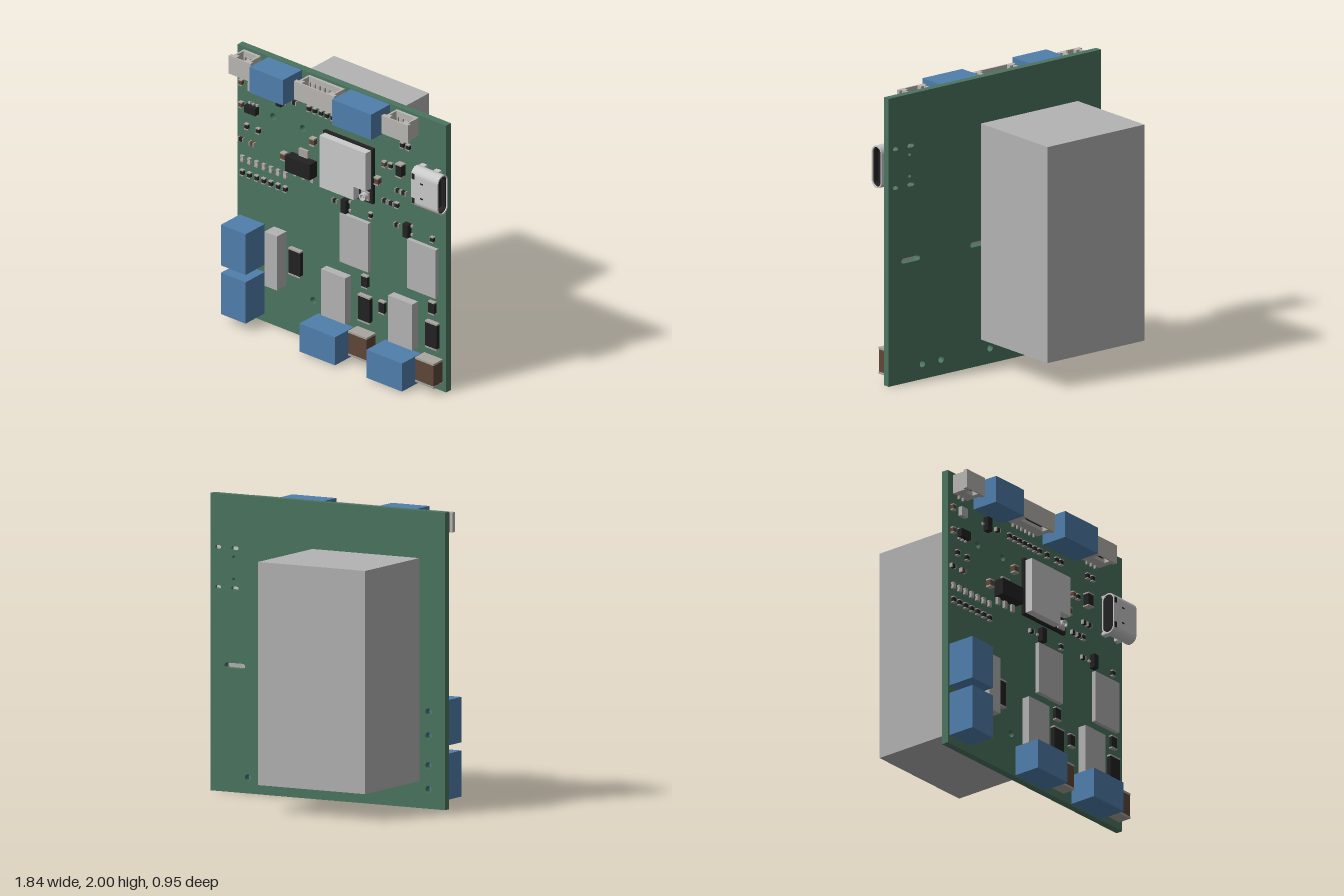
import * as THREE from 'three';

const mat = (name, color, side = THREE.FrontSide) => {
  const m = new THREE.MeshStandardMaterial({ color, side });
  m.name = name;
  return m;
};

export function createModel() {
  const root = new THREE.Group();
  root.name = 'circuitBoard';
  const green = mat('board green', 0x4c7560);
  const blue = mat('terminal blue', 0x507fac);
  const grey = mat('package grey', 0xb3b3b3);
  const silver = mat('shield silver', 0xcacaca);
  const plastic = mat('connector plastic', 0xbab7b2);
  const black = mat('component black', 0x222222);
  const brown = mat('capacitor brown', 0x5f4637);
  const solder = mat('solder metal', 0xaaa59f);
  const F = 0.28; // front face of the board

  const add = (parent, name, geo, material) => {
    const m = new THREE.Mesh(geo, material);
    m.name = name;
    parent.add(m);
    return m;
  };
  // box given by its limits
  const box = (parent, name, material, x0, x1, y0, y1, z0, z1) => {
    const m = add(parent, name, new THREE.BoxGeometry(x1 - x0, y1 - y0, z1 - z0), material);
    m.position.set((x0 + x1) / 2, (y0 + y1) / 2, (z0 + z1) / 2);
    return m;
  };
  const group = (name) => {
    const g = new THREE.Group();
    g.name = name;
    root.add(g);
    return g;
  };
  const poly = (pts) => new THREE.Shape(pts.map(([x, y]) => new THREE.Vector2(x, y)));
  const rect = (x0, x1, y0, y1) => poly([[x0, y0], [x1, y0], [x1, y1], [x0, y1]]);
  const slot = (cx, cy, hx, hy, Kind = THREE.Shape) => { // rounded slot, long in x or y
    const s = new Kind(), r = Math.min(hx, hy), dx = hx - r, dy = hy - r, q = Math.PI / 2;
    s.absarc(cx + dx, cy + dy, r, 0, q, false);
    s.absarc(cx - dx, cy + dy, r, q, 2 * q, false);
    s.absarc(cx - dx, cy - dy, r, 2 * q, 3 * q, false);
    s.absarc(cx + dx, cy - dy, r, 3 * q, 4 * q, false);
    s.closePath();
    return s;
  };

  // board with drilled holes and slots
  const plate = rect(-0.92, 0.9, 0, 2);
  const holes = [
    [-0.61, 1.56, 0.025], [-0.35, 1.56, 0.025], [-0.61, 0.3, 0.025], [-0.26, 0.3, 0.025],
    [-0.79, 0.65, 0.023], [-0.79, 0.49, 0.023], [-0.79, 0.29, 0.023], [-0.79, 0.13, 0.023],
    [0.61, 0.105, 0.023], [0.45, 0.105, 0.023], [0.03, 0.105, 0.023], [-0.14, 0.105, 0.023],
    [0.72, 1.58, 0.011], [0.72, 1.43, 0.011],
  ];
  for (const [x, y, r] of holes) plate.holes.push(slot(x, y, r, r, THREE.Path));
  for (const y of [1.37, 1.64]) {
    plate.holes.push(slot(0.84, y, 0.022, 0.013, THREE.Path), slot(0.71, y, 0.028, 0.013, THREE.Path));
  }
  for (const x of [0.12, 0.71]) plate.holes.push(slot(x, 0.85, 0.08, 0.018, THREE.Path));
  add(root, 'board', new THREE.ExtrudeGeometry(plate, { depth: 0.05, bevelEnabled: false, curveSegments: 6 }), green)
    .position.z = 0.23;

  // large block on the back
  box(root, 'rearBlock', grey, -0.72, 0.11, 0.18, 1.68, -0.475, 0.23);

  // blue terminal blocks
  for (const [x0, x1, y0, y1] of [
    [-0.65, -0.36, 1.805, 1.995], [0.07, 0.41, 1.805, 1.995],
    [-0.9, -0.685, 0.425, 0.73], [-0.9, -0.685, 0.06, 0.37],
    [-0.215, 0.095, 0.01, 0.22], [0.37, 0.68, 0.01, 0.22],
  ]) box(root, 'terminalBlock', blue, x0, x1, y0, y1, F, 0.475);

  // flat grey packages
  for (const [x0, x1, y0, y1, z] of [
    [-0.005, 0.245, 0.69, 1.055, 0.31], [0.583, 0.833, 0.69, 1.055, 0.31],
    [-0.143, 0.07, 0.255, 0.6, 0.34], [0.445, 0.655, 0.255, 0.6, 0.34],
    [-0.603, -0.493, 0.335, 0.74, 0.38], [-0.81, -0.745, 1.7, 1.765, 0.31],
  ]) box(root, 'greyPackage', grey, x0, x1, y0, y1, F, z);

  // plug sockets along the top edge
  const socket = (x0, x1, pins) => {
    const g = group('plugSocket'), w = (x1 - x0) / 2, cx = (x0 + x1) / 2;
    const outline = () => poly([[-w + 0.02, F], [w - 0.02, F], [w - 0.02, 0.385], [w, 0.385], [w, 0.415],
      [-w, 0.415], [-w, 0.385], [-w + 0.02, 0.385]]);
    const a = w - 0.035, b = w - 0.06;
    const upper = outline(), lower = outline();
    upper.holes.push(poly([[-a, 0.3], [-a, 0.37], [-b, 0.37], [-b, 0.405], [b, 0.405], [b, 0.37], [a, 0.37], [a, 0.3]]));
    lower.holes.push(rect(-b, b, 0.358, 0.405));
    for (const [shape, top, depth] of [[upper, 1.98, 0.08], [lower, 1.9, 0.055]]) {
      const geo = new THREE.ExtrudeGeometry(shape, { depth, bevelEnabled: false }).rotateX(Math.PI / 2);
      add(g, 'socketShell', geo, plastic).position.set(cx, top, 0);
    }
    box(g, 'contactBar', black, cx - b + 0.02, cx + b - 0.02, 1.87, 1.89, 0.356, 0.366);
    for (let i = 0; i < pins; i++) {
      const x = cx + (i - (pins - 1) / 2) * 0.043;
      box(g, 'pin', solder, x - 0.006, x + 0.006, 1.9, 1.96, 0.325, 0.337);
      box(g, 'lead', solder, x - 0.006, x + 0.006, 1.82, 1.85, F, 0.295);
    }
  };
  socket(-0.885, -0.695, 2);
  socket(-0.315, 0.035, 6);
  socket(0.45, 0.68, 3);

  // radio module with stepped shield and aerial socket
  const radio = group('radioModule');
  box(radio, 'carrier', black, -0.152, 0.28, 1.212, 1.623, F, 0.305);
  const can = poly([[-0.138, 1.225], [0.16, 1.225], [0.16, 1.325], [0.265, 1.325], [0.265, 1.61], [-0.138, 1.61]]);
  add(radio, 'shield', new THREE.ExtrudeGeometry(can, { depth: 0.055, bevelEnabled: false }), silver).position.z = 0.305;
  box(radio, 'aerialBase', solder, 0.19, 0.255, 1.23, 1.295, 0.305, 0.318);
  const ring = slot(0, 0, 0.027, 0.027);
  ring.holes.push(slot(0, 0, 0.018, 0.018, THREE.Path));
  add(radio, 'aerialRing', new THREE.ExtrudeGeometry(ring, { depth: 0.03, bevelEnabled: false, curveSegments: 6 }), silver)
    .position.set(0.222, 1.262, 0.318);
  const core = add(radio, 'aerialCore', new THREE.CylinderGeometry(0.007, 0.007, 0.025, 12).rotateX(Math.PI / 2), silver);
  core.position.set(0.222, 1.262, 0.33);
  for (const [x, y] of [[0.172, 1.305], [0.195, 1.312], [0.172, 1.245]]) {
    box(radio, 'radioChip', solder, x - 0.006, x + 0.006, y - 0.006, y + 0.006, 0.305, 0.315);
  }

  // side port: rounded shell, dark liner and tongue
  const port = group('sidePort');
  const along = (name, shape, x, depth, material) => add(port, name,
    new THREE.ExtrudeGeometry(shape, { depth, bevelEnabled: false, curveSegments: 8 }).rotateY(Math.PI / 2), material)
    .position.set(x, 1.507, 0.335);
  const shell = slot(0, 0, 0.053, 0.147);
  shell.holes.push(slot(0, 0, 0.043, 0.137, THREE.Path));
  along('portShell', shell, 0.685, 0.233, silver);
  along('portLiner', slot(0, 0, 0.0435, 0.1375), 0.69, 0.06, black);
  const liner = slot(0, 0, 0.043, 0.137);
  liner.holes.push(slot(0, 0, 0.034, 0.128, THREE.Path));
  along('portLining', liner, 0.74, 0.17, black);
  along('portTongue', rect(-0.012, 0.012, -0.1, 0.1), 0.74, 0.15, black);
  for (const s of [-1, 1]) {
    const y = 1.507 + s * 0.132;
    for (const x of [0.715, 0.84]) box(port, 'portFoot', silver, x - 0.025, x + 0.02, y - 0.012, y + 0.012, 0.25, 0.31);
    box(port, 'portNotch', black, 0.69, 0.715, 1.507 + s * 0.09 - 0.02, 1.507 + s * 0.09 + 0.02, 0.38, 0.3895);
    box(port, 'portSlit', black, 0.765, 0.79, 1.507 + s * 0.055 - 0.005, 1.507 + s * 0.055 + 0.005, 0.38, 0.3895);
  }

  // power regulator with tab and three leads
  const reg = group('regulator');
  box(reg, 'regulatorBody', black, -0.44, -0.225, 1.242, 1.357, 0.285, 0.36);
  box(reg, 'regulatorTab', solder, -0.372, -0.295, 1.357, 1.412, F, 0.3);
  for (const x of [-0.408, -0.333, -0.258]) box(reg, 'regulatorLead', solder, x - 0.014, x + 0.014, 1.19, 1.245, F, 0.3);

  // two-ended chips: body plus metal caps at the ends
  const chip = (x, y, w, h, d, body, horizontal = false, cap = 0.18) => {
    const g = new THREE.Group();
    g.name = 'chip';
    g.position.set(x, y, F);
    if (horizontal) g.rotation.z = Math.PI / 2;
    root.add(g);
    const c = h * cap, e = 0.002;
    box(g, 'chipBody', body, -w / 2, w / 2, -h / 2 + c, h / 2 - c, 0, d);
    for (const s of [-1, 1]) {
      const y0 = s * h / 2, y1 = s * (h / 2 - c);
      box(g, 'chipCap', solder, -w / 2 - e, w / 2 + e, Math.min(y0, y1), Math.max(y0, y1), 0, d + e);
    }
  };
  for (const [x, y] of [[-0.4, 0.545], [0.205, 0.402], [0.793, 0.402]]) chip(x, y, 0.1, 0.2, 0.03, black, false, 0.06);
  for (const x of [0.205, 0.79]) chip(x, 0.147, 0.158, 0.185, 0.092, brown, false, 0.08);
  for (const [x, y] of [[0.205, 0.605], [0.79, 0.605], [0.354, 0.462]]) chip(x, y, 0.05, 0.095, 0.025, black, false, 0.1);
  chip(0.52, 1.55, 0.05, 0.1, 0.045, black, false, 0.1);
  for (const [x, y] of [[-0.245, 1.505], [-0.5, 1.31], [0.317, 1.4]]) chip(x, y, 0.038, 0.058, 0.035, brown);

  // small black chips: x, y, lying sideways
  const small = [[0.25, 1.115], [0.79, 1.115], [-0.06, 1.12, true], [0.48, 1.12, true], [-0.415, 1.735, true],
    [0.425, 1.545], [0.49, 1.38, true], [0.54, 1.38, true], [0.375, 1.265, true], [0.43, 1.265, true],
    [0.48, 1.268], [-0.83, 1.418], [-0.73, 1.418], [-0.88, 1.305, true]];
  for (const x of [-0.288, -0.235, -0.182, -0.13, -0.078, -0.026, 0.026, 0.105, 0.205, 0.25, 0.527, 0.58]) small.push([x, 1.735]);
  for (let i = 0; i < 7; i++) {
    const x = -0.87 + i * 0.0625;
    small.push([x, 1.06]);
    chip(x, 1.165, 0.024, 0.045, 0.018, plastic, false, 0.3);
  }
  for (const [x, y, flat] of small) chip(x, y, 0.026, 0.045, 0.02, black, flat);
  for (const [x, y, flat] of [[-0.878, 1.735], [-0.878, 1.567], [-0.78, 1.305, true], [0.372, 1.542]]) chip(x, y, 0.026, 0.045, 0.025, brown, flat);

  // small packages with leads on both sides
  const leaded = (x, y, w, h, leads) => {
    const g = group('transistor');
    box(g, 'transistorBody', black, x - w / 2, x + w / 2, y - h / 2, y + h / 2, 0.285, 0.325);
    for (const [dx, dy] of leads) box(g, 'transistorLead', solder, x + dx - 0.009, x + dx + 0.009, y + dy - 0.008, y + dy + 0.008, F, 0.295);
  };
  for (const [x, y, s] of [[0.037, 1.12, 1], [0.578, 1.12, 1], [-0.53, 1.73, 1]]) {
    leaded(x, y, 0.045, 0.098, [[-0.03 * s, 0], [0.03 * s, 0.032], [0.03 * s, -0.032]]);
  }
  leaded(-0.777, 1.567, 0.095, 0.055, [-0.033, 0, 0.033].flatMap((d) => [[d, 0.033], [d, -0.033]]));

  return root;
}
